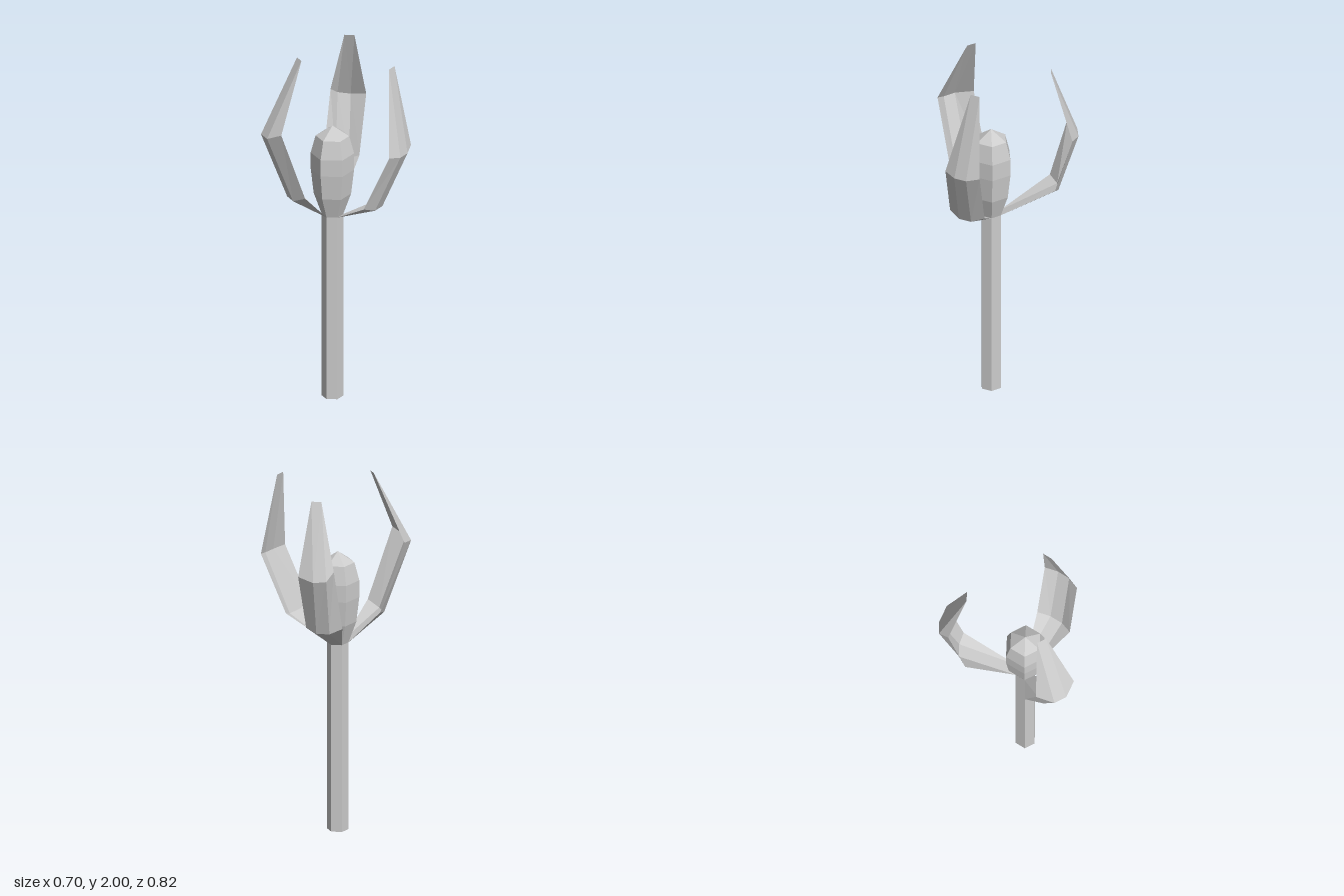
import * as THREE from 'three';

const CX = -0.083, CZ = 0.038, R = 0.058, STEM = 1.06;

// Corner k of the six-sided stem top
function corner(k) {
  const a = k * Math.PI / 3;
  return [CX + R * Math.sin(a), STEM, CZ + R * Math.cos(a)];
}

// Folded petal: stem edge -> lower ring -> upper ring -> tip.
// Each ring runs edge, middle, middle, edge; the ends have two points, doubled.
function petalGeometry(k, lower, upper, tip) {
  const a = corner(k), b = corner(k + 1);
  const rings = [[a, a, b, b], lower, upper, [tip[0], tip[0], tip[1], tip[1]]];
  const pos = [];
  const tri = (p, q, r) => {
    if (p !== q && q !== r && p !== r) pos.push(...p, ...q, ...r);
  };
  for (let i = 0; i < 3; i++) {
    for (let j = 0; j < 3; j++) {
      const [p, q] = [rings[i][j], rings[i][j + 1]];
      const [s, t] = [rings[i + 1][j], rings[i + 1][j + 1]];
      tri(p, q, t);
      tri(p, t, s);
    }
  }
  const g = new THREE.BufferGeometry();
  g.setAttribute('position', new THREE.Float32BufferAttribute(pos, 3));
  g.computeVertexNormals();
  return g;
}

export function createModel() {
  const group = new THREE.Group();
  const solid = new THREE.MeshStandardMaterial({ color: 0xcccccc, flatShading: true });
  const sheet = new THREE.MeshStandardMaterial({ color: 0xcccccc, flatShading: true, side: THREE.DoubleSide });
  const add = (name, geometry, material) => {
    const mesh = new THREE.Mesh(geometry, material);
    mesh.name = name;
    group.add(mesh);
    return mesh;
  };

  // Hexagonal stem
  add('stem', new THREE.CylinderGeometry(R, R, STEM, 6), solid).position.set(CX, STEM / 2, CZ);

  // Bulb in the middle of the flower
  const profile = [[R, STEM], [0.1, 1.18], [0.116, 1.32], [0.116, 1.415], [0.09, 1.515], [0, 1.575]];
  add('bulb', new THREE.LatheGeometry(profile.map(p => new THREE.Vector2(...p)), 6), solid)
    .position.set(CX, 0, CZ);

  // Three uneven petals, each growing from every second side of the stem
  add('leftPetal', petalGeometry(1,
    [[0.187, 1.19, 0.147], [0.215, 1.165, 0.08], [0.215, 1.165, 0.008], [0.19, 1.19, -0.06]],
    [[0.322, 1.505, 0.107], [0.35, 1.492, 0.04], [0.35, 1.492, -0.03], [0.327, 1.51, -0.1]],
    [[0.248, 1.965, -0.007], [0.248, 1.965, -0.06]]), sheet);

  add('backPetal', petalGeometry(3,
    [[-0.14, 1.255, -0.315], [-0.2, 1.23, -0.305], [-0.26, 1.23, -0.268], [-0.298, 1.25, -0.205]],
    [[-0.158, 1.575, -0.41], [-0.25, 1.557, -0.4], [-0.31, 1.565, -0.363], [-0.315, 1.605, -0.302]],
    [[-0.152, 1.965, -0.285], [-0.2, 1.965, -0.26]]), sheet);

  add('frontPetal', petalGeometry(5,
    [[-0.277, 1.235, 0.158], [-0.235, 1.203, 0.247], [-0.173, 1.203, 0.285], [-0.098, 1.235, 0.283]],
    [[-0.35, 1.612, 0.275], [-0.32, 1.592, 0.373], [-0.258, 1.592, 0.408], [-0.172, 1.63, 0.402]],
    [[-0.208, 2, 0.192], [-0.162, 2, 0.22]]), sheet);

  return group;
}
